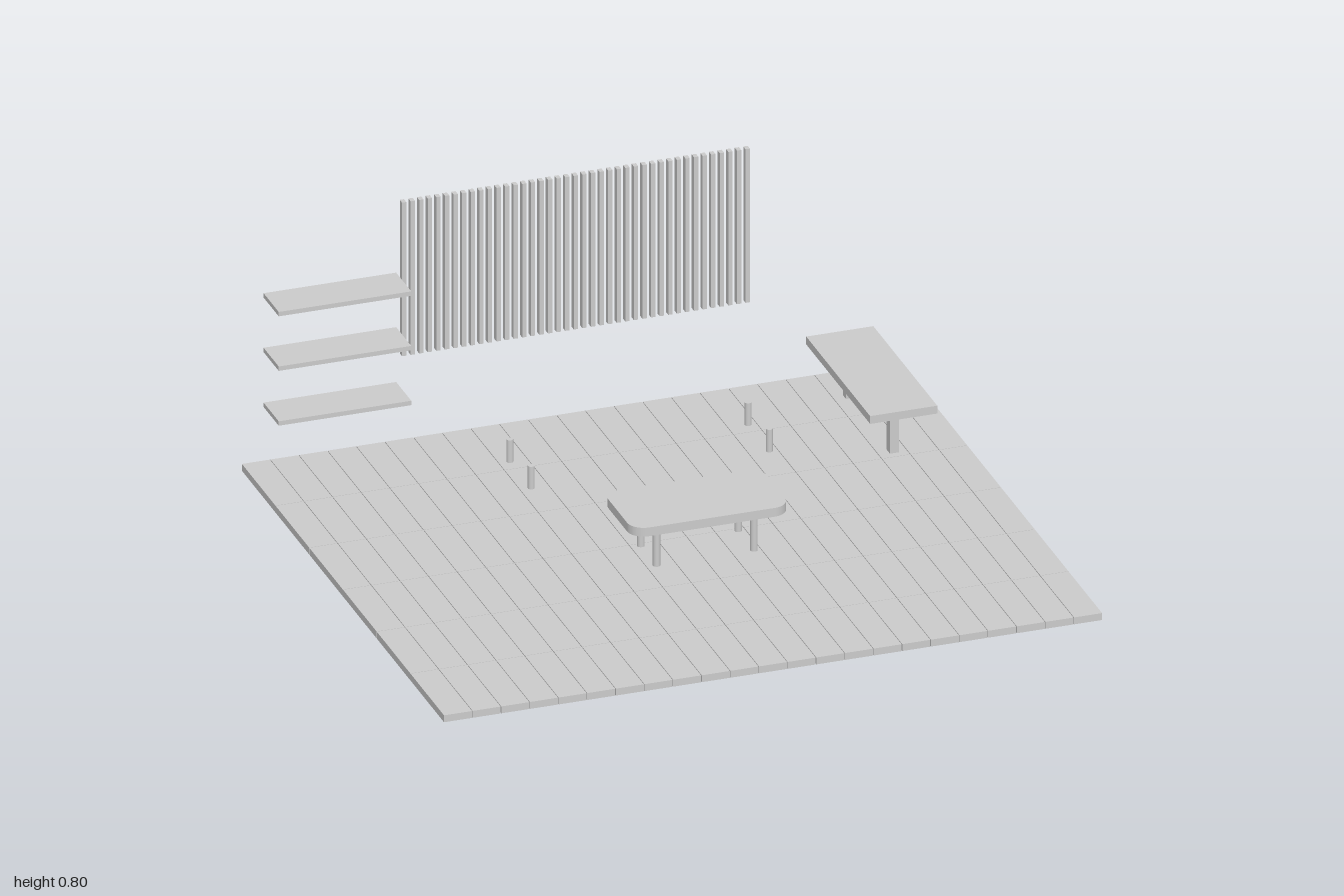
import * as THREE from 'three';

const material = new THREE.MeshStandardMaterial({ color: 0xcccccc });

function add(parent, name, geometry, x, y, z) {
  const mesh = new THREE.Mesh(geometry, material);
  mesh.name = name;
  mesh.position.set(x, y, z);
  parent.add(mesh);
  return mesh;
}

function part(parent, name) {
  const group = new THREE.Group();
  group.name = name;
  parent.add(group);
  return group;
}

// Box given by its minimum and maximum corners
function box(parent, name, [x0, y0, z0], [x1, y1, z1]) {
  return add(parent, name, new THREE.BoxGeometry(x1 - x0, y1 - y0, z1 - z0),
    (x0 + x1) / 2, (y0 + y1) / 2, (z0 + z1) / 2);
}

// Round upright legs at every combination of the x and z positions
function roundLegs(parent, name, xs, zs, y0, y1, radius) {
  const geometry = new THREE.CylinderGeometry(radius, radius, y1 - y0, 16);
  for (const x of xs) for (const z of zs) add(parent, name, geometry, x, (y0 + y1) / 2, z);
}

// Flat plate with rounded corners, lying in the xz plane
function roundedPlate(w, d, h, r) {
  const s = new THREE.Shape();
  const x = w / 2, y = d / 2;
  s.moveTo(-x + r, -y);
  s.lineTo(x - r, -y);
  s.absarc(x - r, -y + r, r, -Math.PI / 2, 0);
  s.lineTo(x, y - r);
  s.absarc(x - r, y - r, r, 0, Math.PI / 2);
  s.lineTo(-x + r, y);
  s.absarc(-x + r, y - r, r, Math.PI / 2, Math.PI);
  s.lineTo(-x, -y + r);
  s.absarc(-x + r, -y + r, r, Math.PI, Math.PI * 1.5);
  return new THREE.ExtrudeGeometry(s, { depth: h, bevelEnabled: false, curveSegments: 8 })
    .rotateX(-Math.PI / 2);
}

export function createModel() {
  const model = new THREE.Group();
  model.name = 'livingRoom';

  // Floor of planks with hairline joints
  const floor = part(model, 'floor');
  const columns = 23, rows = 6, gap = 0.002;
  const pitchX = (2 + gap) / columns, pitchZ = (1.738 + gap) / rows;
  const plank = new THREE.BoxGeometry(pitchX - gap, 0.022, pitchZ - gap);
  for (let i = 0; i < columns; i++) {
    for (let j = 0; j < rows; j++) {
      add(floor, 'floorPlank', plank,
        (i - (columns - 1) / 2) * pitchX, 0.011, (j - (rows - 1) / 2) * pitchZ);
    }
  }

  // Slatted wall panel
  const panel = part(model, 'slatPanel');
  const slat = new THREE.BoxGeometry(0.013, 0.49, 0.02);
  for (let i = 0; i <= 40; i++) add(panel, 'slat', slat, -0.523 + i * 0.0261, 0.555, -0.833);

  // Wall shelves
  const shelves = part(model, 'shelves');
  for (const y of [0.213, 0.388, 0.562]) {
    box(shelves, 'shelf', [-0.943, y - 0.007, -0.844], [-0.54, y + 0.007, -0.714]);
  }

  // Coffee table
  const table = part(model, 'coffeeTable');
  add(table, 'tableTop', roundedPlate(0.48, 0.26, 0.028, 0.05), 0.04, 0.16, 0.1);
  roundLegs(table, 'tableLeg', [-0.108, 0.188], [0.037, 0.172], 0.034, 0.16, 0.011);

  // Desk
  const desk = part(model, 'desk');
  box(desk, 'deskTop', [0.68, 0.175, -0.77], [0.884, 0.2, -0.22]);
  for (const z of [-0.304, -0.682]) {
    box(desk, 'deskLeg', [0.765, 0.034, z - 0.014], [0.792, 0.175, z + 0.014]);
  }

  // Sofa feet
  const feet = part(model, 'sofaFeet');
  roundLegs(feet, 'sofaFoot', [-0.279, 0.445], [-0.605, -0.422], 0.034, 0.106, 0.01);

  return model;
}
